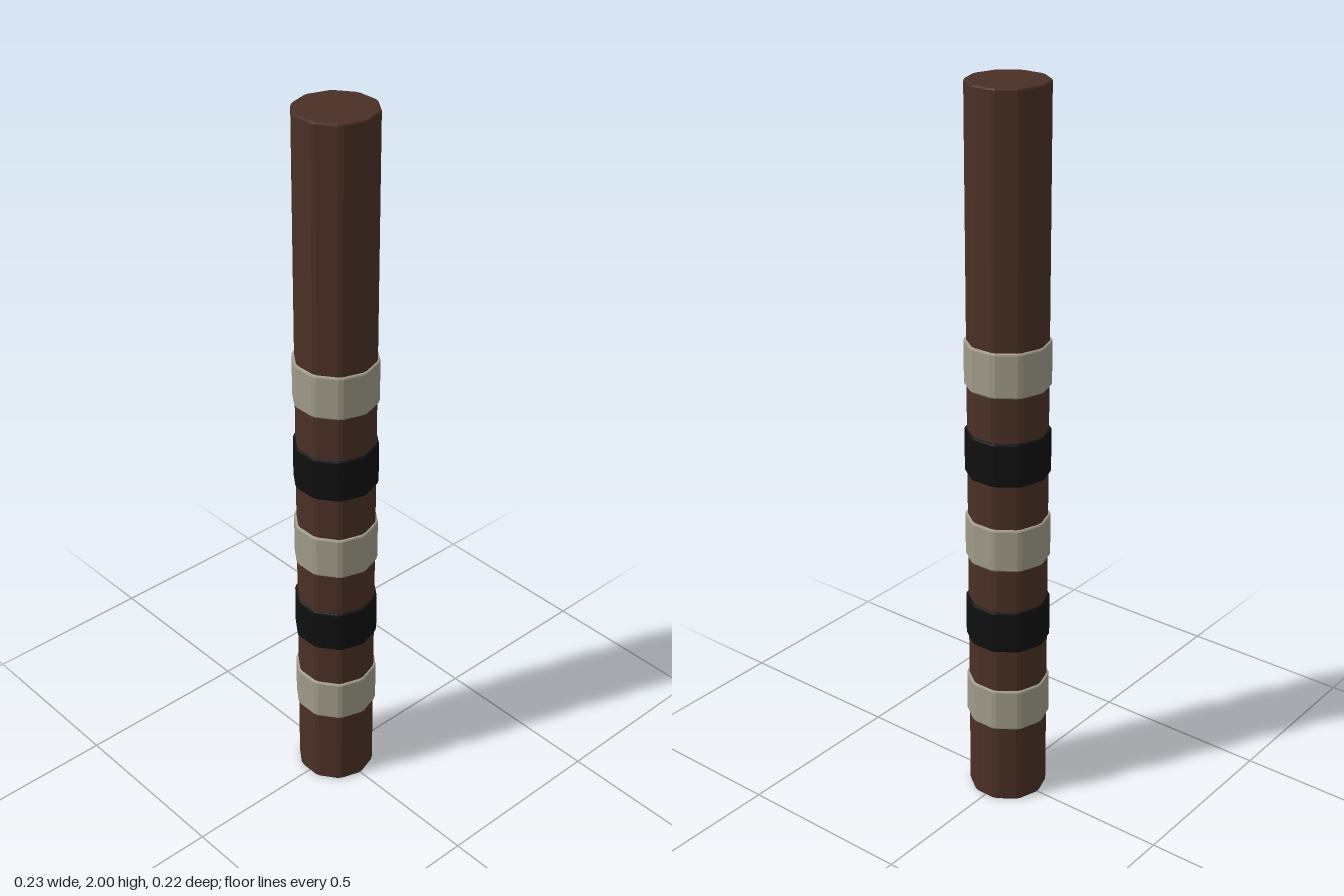
import * as THREE from 'three';

const SIDES = 10;
const BEVEL = 0.005;

// Ten-sided outline with slightly clipped corners, a corner on +x
function outline(radius, clip) {
  const corner = (i) => {
    const a = (i / SIDES) * Math.PI * 2;
    return new THREE.Vector2(Math.cos(a) * radius, Math.sin(a) * radius);
  };
  const points = [];
  for (let i = 0; i < SIDES; i++) {
    const c = corner(i);
    for (const n of [corner(i - 1), corner(i + 1)]) {
      points.push(c.clone().add(n.sub(c).setLength(clip)));
    }
  }
  return new THREE.Shape(points);
}

// Upright bevelled prism from y = bottom to y = top
function prism(name, radius, bottom, top, material) {
  const geometry = new THREE.ExtrudeGeometry(outline(radius, 0.007), {
    depth: top - bottom - 2 * BEVEL,
    bevelEnabled: true,
    bevelThickness: BEVEL,
    bevelSize: BEVEL,
    bevelOffset: -BEVEL,
    bevelSegments: 2,
  });
  geometry.rotateX(-Math.PI / 2);
  geometry.translate(0, bottom + BEVEL, 0);
  const mesh = new THREE.Mesh(geometry, material);
  mesh.name = name;
  return mesh;
}

export function createModel() {
  const wood = new THREE.MeshStandardMaterial({ color: 0x4a3026 });
  wood.name = 'dark wood';
  const pale = new THREE.MeshStandardMaterial({ color: 0xa09b89 });
  pale.name = 'pale grey';
  const black = new THREE.MeshStandardMaterial({ color: 0x101010 });
  black.name = 'black';

  const group = new THREE.Group();
  group.name = 'bandedPole';

  // Pole
  group.add(prism('pole', 0.1085, 0, 2, wood));

  // Evenly spaced bands, alternating pale and black
  for (let i = 0; i < 5; i++) {
    const y = 0.296 + i * 0.246;
    const isPale = i % 2 === 0;
    group.add(prism(isPale ? 'paleBand' : 'blackBand', 0.115, y - 0.061, y + 0.061, isPale ? pale : black));
  }
  return group;
}
